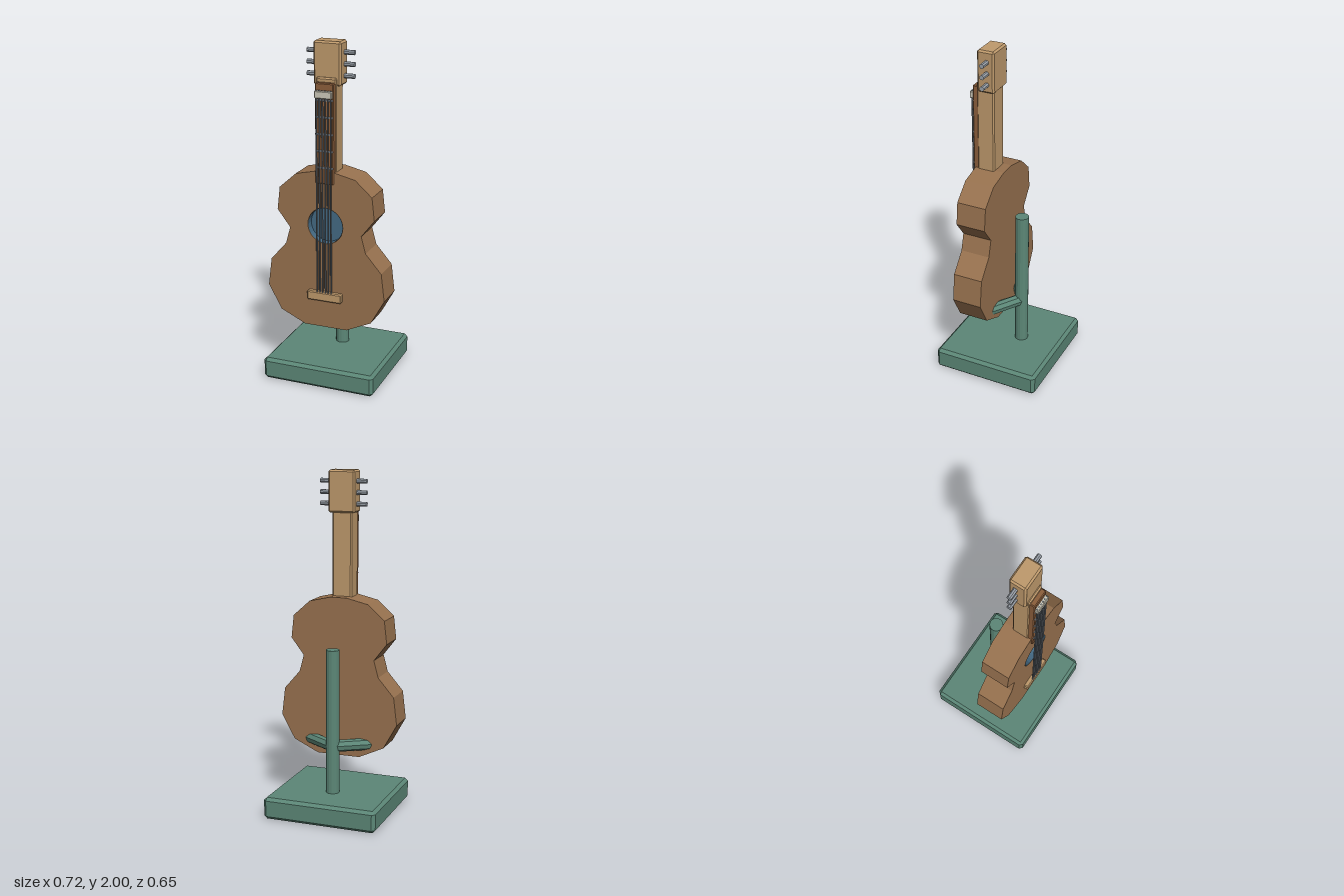
import * as THREE from 'three';
import { ConvexGeometry } from 'three/addons/geometries/ConvexGeometry.js';

const mat = (color, side = THREE.FrontSide) => new THREE.MeshStandardMaterial({ color, flatShading: true, side });
const WOOD = mat(0x98724f), TAN = mat(0xbf9a6c), DARK_WOOD = mat(0x8c5f3c), GREEN = mat(0x5c8777);
const BLUE = mat(0x446a84, THREE.DoubleSide), STEEL = mat(0x9aa1a9), BONE = mat(0xcfcbbb), WIRE = mat(0x6c747c);

// Box given by its limits, with all edges chamfered by c
function chamferBox(x, y, z, c) {
  const h = [x, y, z].map(([a, b]) => (b - a) / 2);
  const points = [];
  for (const sx of [-1, 1]) for (const sy of [-1, 1]) for (const sz of [-1, 1]) {
    for (let axis = 0; axis < 3; axis++) {
      const p = h.map((v, i) => (i === axis ? v : v - c));
      points.push(new THREE.Vector3(p[0] * sx, p[1] * sy, p[2] * sz));
    }
  }
  const geometry = new ConvexGeometry(points);
  geometry.translate((x[0] + x[1]) / 2, (y[0] + y[1]) / 2, (z[0] + z[1]) / 2);
  return geometry;
}

// Cylinder running from point a to point b
function rod(a, b, radius, sides) {
  const from = new THREE.Vector3(...a), to = new THREE.Vector3(...b);
  const dir = to.clone().sub(from);
  const geometry = new THREE.CylinderGeometry(radius, radius, dir.length(), sides);
  geometry.rotateY(Math.PI / sides);
  geometry.applyQuaternion(new THREE.Quaternion().setFromUnitVectors(new THREE.Vector3(0, 1, 0), dir.normalize()));
  const mid = from.add(to).multiplyScalar(0.5);
  return geometry.translate(mid.x, mid.y, mid.z);
}

export function createModel() {
  const model = new THREE.Group();
  model.name = 'guitarOnStand';
  const add = (name, geometry, material, parent = model) => {
    const mesh = new THREE.Mesh(geometry, material);
    mesh.name = name;
    parent.add(mesh);
    return mesh;
  };
  const group = (name) => {
    const g = new THREE.Group();
    g.name = name;
    model.add(g);
    return g;
  };

  // Stand: base slab, post and two cradle arms
  const stand = group('stand');
  add('base', chamferBox([-0.342, 0.342], [0, 0.13], [-0.325, 0.325], 0.018), GREEN, stand);
  add('post', rod([0, 0.12, -0.083], [0, 0.987, -0.083], 0.04, 16), GREEN, stand);
  for (const s of [-1, 1]) {
    add(s > 0 ? 'leftArm' : 'rightArm', rod([0, 0.41, -0.083], [s * 0.2, 0.41, 0.045], 0.035, 8), GREEN, stand);
  }

  // Body: solid back layer, and a front layer with the sound hole cut in it
  const body = group('body');
  const half = [[0.13, 0.33], [0.28, 0.4], [0.36, 0.545], [0.34, 0.71], [0.245, 0.82], [0.218, 0.92],
    [0.295, 1.02], [0.28, 1.155], [0.18, 1.245], [0.05, 1.275]];
  const outline = [...half, ...half.map(([x, y]) => [-x, y]).reverse()].map(([x, y]) => new THREE.Vector2(x, y));
  const BACK = 0.01, FLOOR = 0.14, FACE = 0.187, HOLE_Y = 0.955, HOLE_R = 0.107;
  const layer = (from, to, hole) => {
    const shape = new THREE.Shape(outline);
    if (hole) shape.holes.push(new THREE.Path().absarc(0, HOLE_Y, HOLE_R, 0, Math.PI * 2, true));
    return new THREE.ExtrudeGeometry(shape, { depth: to - from, bevelEnabled: false, curveSegments: 24 })
      .translate(0, 0, from);
  };
  add('bodyBack', layer(BACK, FLOOR, false), WOOD, body);
  add('bodyFront', layer(FLOOR, FACE, true), WOOD, body);

  // Blue lining of the sound hole
  const wall = new THREE.CylinderGeometry(HOLE_R - 0.002, HOLE_R - 0.002, FACE - FLOOR, 24, 1, true);
  wall.rotateX(Math.PI / 2).translate(0, HOLE_Y, (FACE + FLOOR) / 2);
  add('soundHoleWall', wall, BLUE, body);
  add('soundHoleFloor', new THREE.CircleGeometry(HOLE_R, 24).translate(0, HOLE_Y, FLOOR + 0.002), BLUE, body);
  add('bridge', chamferBox([-0.106, 0.106], [0.5, 0.555], [0.18, 0.214], 0.006), TAN, body);

  // Neck, fingerboard, nut and frets
  const neck = group('neck');
  add('neckShaft', chamferBox([-0.06, 0.06], [1.24, 1.803], [0.065, 0.17], 0.008), TAN, neck);
  add('fingerboard', chamferBox([-0.055, 0.055], [1.205, 1.778], [0.16, 0.198], 0.005), DARK_WOOD, neck);
  add('nut', chamferBox([-0.051, 0.051], [1.695, 1.737], [0.19, 0.219], 0.004), BONE, neck);
  for (let i = 0; i < 5; i++) {
    const y = 1.3 + i * 0.096;
    add('fret', chamferBox([-0.052, 0.052], [y - 0.005, y + 0.005], [0.19, 0.204], 0.002), STEEL, neck);
  }

  // Six strings from the bridge to the nut
  const strings = group('strings');
  for (let i = 0; i < 6; i++) {
    const x = (i - 2.5) * 0.0172;
    add('string', rod([x, 0.53, 0.207], [x, 1.74, 0.207], 0.0045, 8), WIRE, strings);
  }

  // Headstock with three tuning pegs on each side
  const head = group('head');
  add('headstock', chamferBox([-0.081, 0.081], [1.757, 2], [0.053, 0.157], 0.01), TAN, head);
  for (const s of [-1, 1]) {
    for (const y of [1.807, 1.872, 1.937]) {
      add('tuningPeg', rod([s * 0.06, y, 0.096], [s * 0.141, y, 0.096], 0.014, 8), STEEL, head);
    }
  }
  return model;
}
